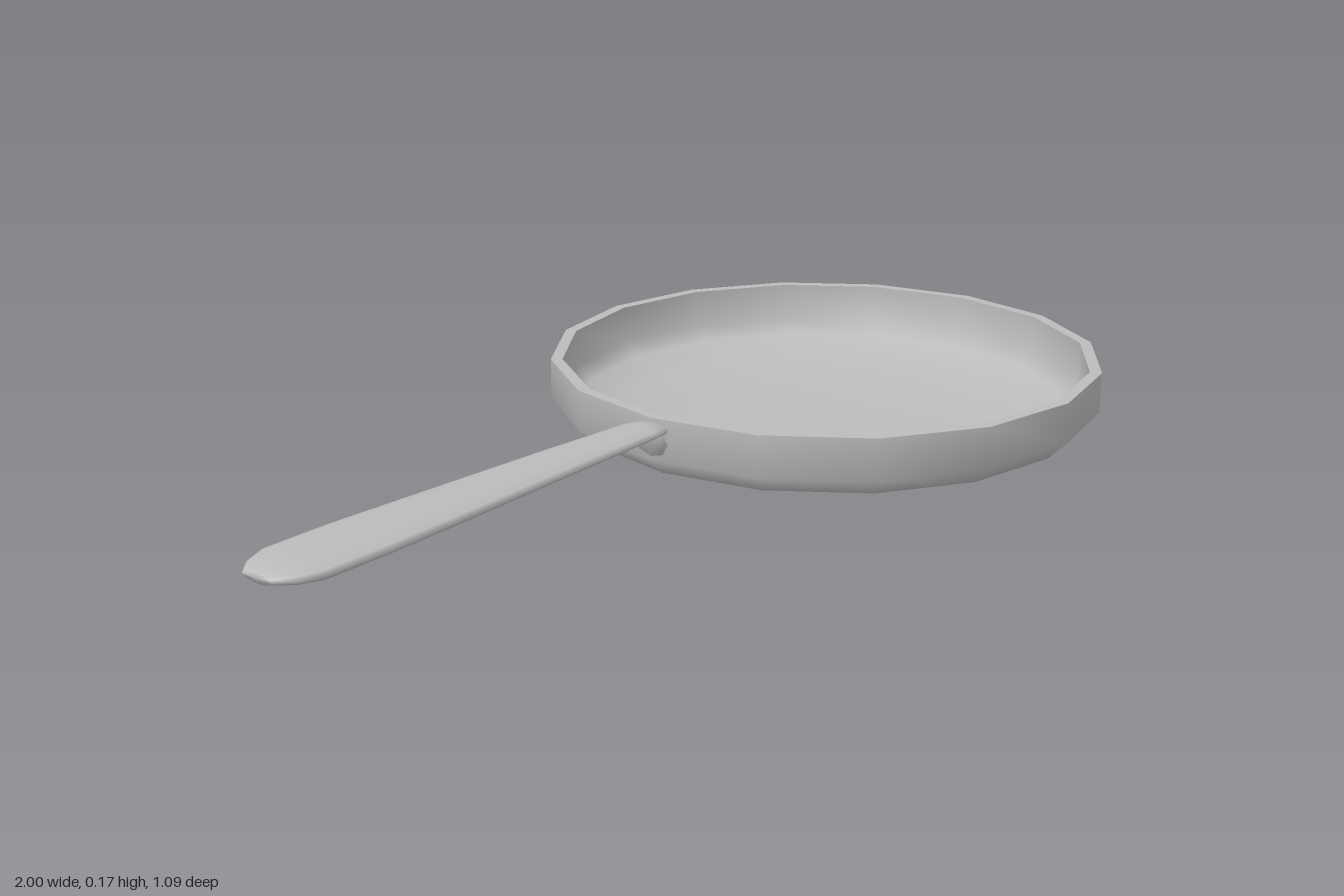
import * as THREE from 'three';
import { mergeVertices } from 'three/addons/utils/BufferGeometryUtils.js';

const SIDES = 16;
const PAN_X = 0.455;

// Smooth solid along x; each section is [x, half width, centre y, half height], from +x to -x
function loft(sections, radial) {
  const rows = sections.length - 1;
  let geo = new THREE.CylinderGeometry(1, 1, 1, radial, rows);
  geo.deleteAttribute('uv');
  geo.deleteAttribute('normal');
  const p = geo.attributes.position;
  for (let i = 0; i < p.count; i++) {
    const [x, w, y, h] = sections[Math.round((0.5 - p.getY(i)) * rows)];
    p.setXYZ(i, x, y + h * p.getZ(i), w * p.getX(i));
  }
  geo = mergeVertices(geo, 1e-5);
  geo.computeVertexNormals();
  return geo;
}

export function createModel() {
  const model = new THREE.Group();
  model.name = 'fryingPan';
  const steel = new THREE.MeshStandardMaterial({ color: 0xbbbbbb });
  steel.name = 'steel grey';

  const add = (parent, name, geometry) => {
    const mesh = new THREE.Mesh(geometry, steel);
    mesh.name = name;
    parent.add(mesh);
    return mesh;
  };

  // Pan body: separate lathes keep the rim edges sharp
  const body = new THREE.Group();
  body.name = 'panBody';
  body.position.x = PAN_X;
  model.add(body);
  const profiles = {
    outerShell: [[0, 0], [0.27, 0], [0.425, 0.022], [0.51, 0.05], [0.545, 0.085], [0.545, 0.165]],
    rim: [[0.545, 0.165], [0.522, 0.165]],
    innerShell: [[0.522, 0.165], [0.522, 0.09], [0.49, 0.062], [0.41, 0.037], [0.26, 0.017], [0, 0.017]],
  };
  for (const [name, points] of Object.entries(profiles)) {
    const profile = points.map(([r, y]) => new THREE.Vector2(r, y));
    add(body, name, new THREE.LatheGeometry(profile, SIDES));
  }

  // Flattened handle, widening to a rounded end
  add(model, 'handle', loft([
    [-0.085, 0.036, 0.145, 0.012],
    [-0.12, 0.042, 0.147, 0.013],
    [-0.32, 0.053, 0.149, 0.015],
    [-0.64, 0.071, 0.150, 0.016],
    [-0.80, 0.079, 0.151, 0.016],
    [-0.93, 0.079, 0.151, 0.016],
    [-0.97, 0.062, 0.151, 0.013],
    [-1.0, 0.034, 0.151, 0.008],
  ], 12));

  // Small bracket joining the handle to the pan wall
  add(model, 'bracket', loft([
    [-0.08, 0.034, 0.117, 0.032],
    [-0.092, 0.034, 0.122, 0.028],
    [-0.105, 0.034, 0.138, 0.014],
  ], 8));

  // Rivets on the inside wall
  for (const side of [-1, 1]) {
    const rivet = add(model, 'rivet', new THREE.SphereGeometry(0.011, 8, 6));
    rivet.scale.x = 0.7;
    rivet.position.set(-0.064, 0.13, side * 0.016);
  }

  return model;
}
